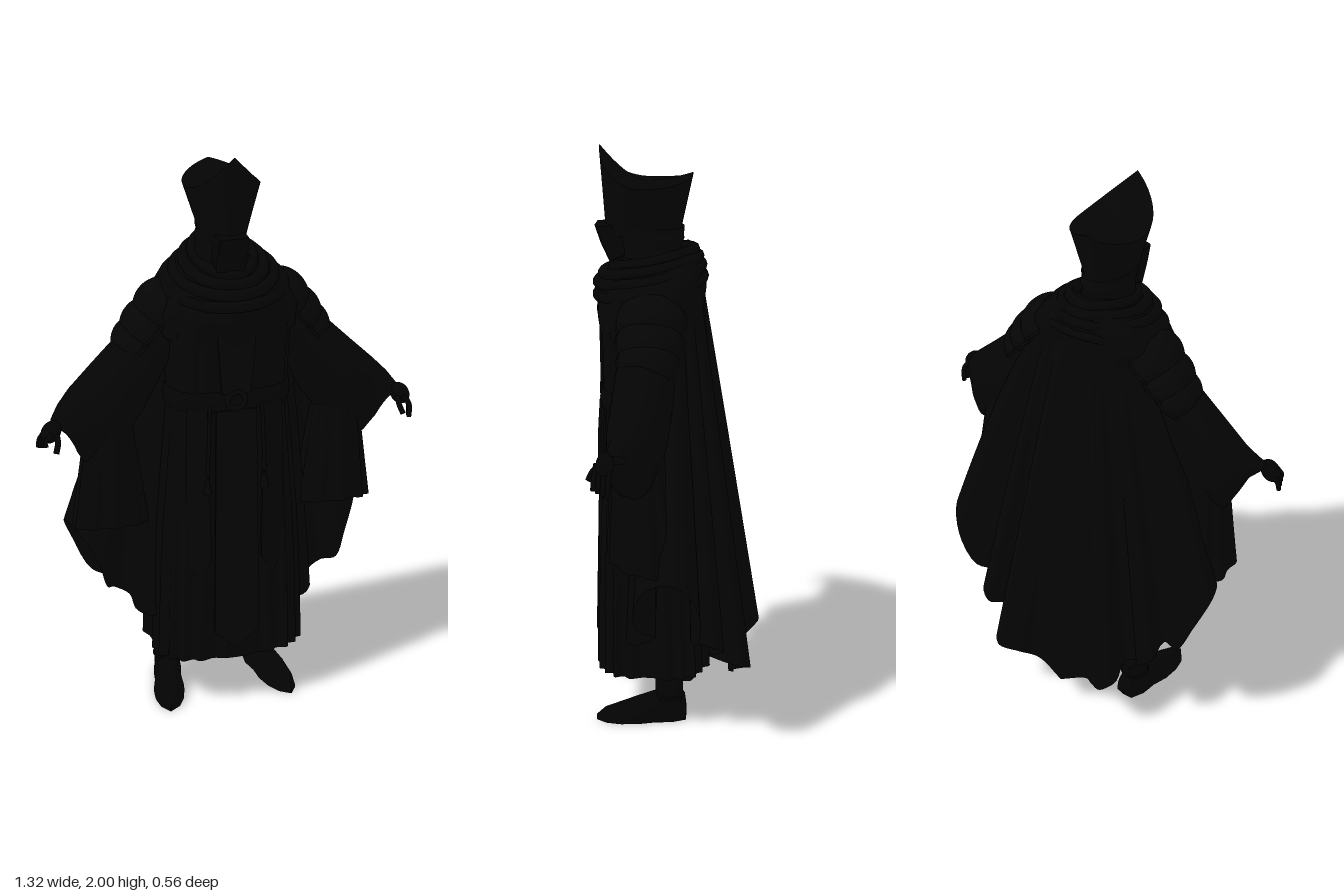
import * as THREE from 'three';
import { mergeVertices } from 'three/addons/utils/BufferGeometryUtils.js';

const V = (x, y, z) => new THREE.Vector3(x, y, z);
const mat = (name, color) => Object.assign(new THREE.MeshStandardMaterial({ color, side: THREE.DoubleSide }), { name });
const cloth = mat('black cloth', 0x040404);
const trim = mat('dark trim', 0x050505);
const leather = mat('black leather', 0x030303);

function mesh(parent, name, geo, material) {
  const m = new THREE.Mesh(geo, material);
  m.name = name;
  parent.add(m);
  return m;
}

// Smooth surface from a rule fn(u, v) -> Vector3
function grid(nu, nv, fn) {
  const pos = [], idx = [];
  for (let j = 0; j <= nv; j++) for (let i = 0; i <= nu; i++) pos.push(...fn(i / nu, j / nv).toArray());
  for (let j = 0; j < nv; j++) for (let i = 0; i < nu; i++) {
    const a = j * (nu + 1) + i, b = a + nu + 1;
    idx.push(a, b, a + 1, a + 1, b, b + 1);
  }
  let g = new THREE.BufferGeometry();
  g.setAttribute('position', new THREE.Float32BufferAttribute(pos, 3));
  g.setIndex(idx);
  g = mergeVertices(g, 1e-5);
  g.computeVertexNormals();
  return g;
}

// Value between rows of numbers, t in 0..1
function rowAt(rows, t) {
  const f = Math.min(t * (rows.length - 1), rows.length - 1.0001), i = Math.floor(f);
  return rows[i].map((a, k) => a + (rows[i + 1][k] - a) * (f - i));
}

// Upright hoop surface; rows are [y, half width, front z, back z, pleat depth]
function hoop(rows, { power = 1, pleats = 0, lift = () => 0, nu = 96, nv = 32 } = {}) {
  return grid(nu, nv, (u, v) => {
    const [y, hx, zf, zb, amp = 0] = rowAt(rows, v);
    const a = u * Math.PI * 2, s = Math.sin(a), c = Math.cos(a);
    const bend = q => Math.sign(q) * Math.abs(q) ** power;
    const k = 1 + amp * Math.cos(pleats * a) + amp * 0.5 * Math.sin(pleats * 0.5 * a + 1) * Math.sin(a / 2);
    return V(bend(s) * hx * k, y + lift(c), (zf + zb) / 2 + bend(c) * (zf - zb) / 2 * k);
  });
}

function tube(points, r, n = 16) {
  return new THREE.TubeGeometry(new THREE.CatmullRomCurve3(points), n, r, 8);
}

function cape() {
  // Hem of one half, from the middle of the back round to the front edge
  const hem = new THREE.CatmullRomCurve3([
    V(0, 0.11, -0.21), V(0.1, 0.16, -0.2), V(0.16, 0.2, -0.25), V(0.22, 0.23, -0.285), V(0.255, 0.25, -0.24),
    V(0.235, 0.27, -0.15), V(0.285, 0.3, -0.15), V(0.32, 0.33, -0.2), V(0.365, 0.36, -0.17), V(0.36, 0.38, -0.09),
    V(0.43, 0.4, -0.12), V(0.5, 0.54, -0.13), V(0.535, 0.64, -0.07), V(0.505, 0.63, 0.02), V(0.45, 0.54, 0.09),
    V(0.42, 0.44, 0.09), V(0.38, 0.4, 0.03), V(0.33, 0.37, 0.04), V(0.32, 0.34, 0.1), V(0.28, 0.33, 0.14), V(0.23, 0.33, 0.14)]);
  return grid(176, 32, (u, v) => {
    const t = Math.abs(u * 2 - 1), side = u < 0.5 ? -1 : 1, a = t * 1.9;
    const low = hem.getPoint(t);
    const top = V(0.19 * Math.sin(a), 1.58 - 0.1 * Math.sin(a), 0.03 - 0.12 * Math.cos(a));
    const f = v ** (1 - 0.42 * Math.min(1, t * 1.3) ** 2);
    return V(side * (top.x + (low.x - top.x) * f), top.y + (low.y - top.y) * v, top.z + (low.z - top.z) * f);
  });
}

function arm(side) {
  const g = new THREE.Group();
  g.name = side > 0 ? 'leftArm' : 'rightArm';
  // Wide sleeve; rows are upper x, y, lower x, y, middle z, half depth
  const rows = [[0.16, 1.55, 0.2, 1.25, 0.06, 0.1], [0.32, 1.4, 0.28, 1.1, 0.07, 0.1], [0.45, 1.275, 0.37, 0.98, 0.08, 0.1],
    [0.53, 1.2, 0.49, 0.93, 0.09, 0.08], [0.575, 1.155, 0.515, 0.98, 0.11, 0.06], [0.605, 1.115, 0.55, 1.07, 0.135, 0.04]];
  mesh(g, 'sleeve', grid(40, 30, (u, v) => {
    const [ux, uy, lx, ly, z, d] = rowAt(rows, v), a = u * Math.PI * 2, c = Math.cos(a);
    const r = 1 + 0.04 * v * Math.cos(8 * a);
    return V((ux + lx) / 2 + (ux - lx) / 2 * c, (uy + ly) / 2 + (uy - ly) / 2 * c, z + d * Math.sin(a) * r);
  }), cloth);
  // Long open drape hanging below the forearm
  mesh(g, 'hangingSleeve', hoop([[0.675, 0.125, 0.18, -0.05, 0.06], [0.95, 0.09, 0.17, -0.02, 0.04], [1.2, 0.055, 0.155, 0.01, 0]],
    { power: 0.85, pleats: 10, lift: c => 0.035 * c, nv: 14 }), cloth).position.x = 0.4;
  // Overlapping shoulder plates
  [[0.205, 1.45, 0.105], [0.255, 1.39, 0.1], [0.295, 1.34, 0.09]].forEach(([x, y, r], i) => {
    const plate = mesh(g, 'shoulderPlate' + (i + 1), new THREE.SphereGeometry(r, 28, 12, 0, Math.PI * 2, 0, Math.PI * 0.52), trim);
    plate.scale.set(0.95, 0.9, 1.1);
    plate.rotation.z = -0.75;
    plate.position.set(x, y, 0.06);
    const rim = mesh(plate, 'plateRim', new THREE.TorusGeometry(r, 0.006, 6, 40), trim);
    rim.rotation.x = Math.PI / 2;
  });
  // Hand
  const palm = mesh(g, 'palm', new THREE.SphereGeometry(1, 16, 12), leather);
  palm.scale.set(0.032, 0.042, 0.03);
  palm.rotation.z = 0.6;
  palm.position.set(0.61, 1.085, 0.16);
  const drop = side > 0 ? 0 : 0.04;
  for (let i = 0; i < 4; i++) {
    const z = 0.14 + i * 0.016;
    mesh(g, 'finger' + (i + 1), tube([V(0.61, 1.09, z), V(0.645 - i * 0.003, 1.05 + drop * 0.3, z + 0.004), V(0.652 - i * 0.006, 0.99 + i * 0.006 + drop, z + 0.008)], 0.0085, 8), leather);
  }
  mesh(g, 'thumb', tube([V(0.595, 1.09, 0.17), V(0.595, 1.06, 0.2), V(0.605, 1.03, 0.215)], 0.01, 8), leather);
  g.scale.x = side;
  return g;
}

function leg(side) {
  const g = new THREE.Group();
  g.name = side > 0 ? 'leftLeg' : 'rightLeg';
  const shaft = mesh(g, 'bootShaft', new THREE.CylinderGeometry(0.055, 0.047, 0.4, 20), leather);
  shaft.position.set(0, 0.25, 0.005);
  for (const y of [0.09, 0.17]) {
    const strap = mesh(g, 'bootStrap', new THREE.TorusGeometry(0.048, 0.005, 6, 24), leather);
    strap.rotation.x = Math.PI / 2;
    strap.position.set(0, y, 0.005);
  }
  // Foot rows are z, half width, height
  const rows = [[-0.055, 0.001, 0.05], [-0.05, 0.035, 0.09], [0, 0.05, 0.115], [0.06, 0.047, 0.1], [0.12, 0.055, 0.08],
    [0.18, 0.05, 0.06], [0.23, 0.033, 0.045], [0.262, 0.001, 0.02]];
  mesh(g, 'foot', grid(24, 28, (u, v) => {
    const [z, w, h] = rowAt(rows, v), a = u * Math.PI * 2;
    return V(w * Math.cos(a), Math.max(0, h * Math.sin(a)), z);
  }), leather);
  g.position.x = side > 0 ? 0.155 : -0.185;
  g.rotation.y = side * 0.2;
  return g;
}

function head() {
  const g = new THREE.Group();
  g.name = 'head';
  g.position.x = -0.012;
  mesh(g, 'hood', hoop([[1.55, 0.1, 0.18, -0.03], [1.66, 0.08, 0.19, -0.02], [1.69, 0.083, 0.2, -0.03], [1.73, 0.072, 0.21, -0.015], [1.78, 0.075, 0.2, 0]]), cloth);
  // Mitre wall and saddle shaped top, with a sharp peak front and back
  const rimY = (s, c) => 1.872 + (c > 0 ? 0.128 : 0.04) * (1 - Math.abs(s));
  const wall = (u, v, k = 1) => {
    const a = u * Math.PI * 2, c = Math.cos(a), s = Math.sin(a);
    const hx = (0.07 + 0.055 * v) * k, zf = 0.235 + 0.02 * v, zb = -0.015 - 0.045 * v;
    return V(s * hx, 1.7 + (rimY(s, c) - 1.7) * v, (zf + zb) / 2 + c * (zf - zb) / 2 * k);
  };
  mesh(g, 'mitre', grid(64, 10, (u, v) => wall(u, v)), cloth);
  mesh(g, 'mitreTop', grid(64, 10, (u, v) => {
    const p = wall(u, 1, 1 - v);
    p.y = 1.88 + (wall(u, 1).y - 1.88) * (1 - v) ** 1.6;
    return p;
  }), cloth);
  mesh(g, 'mitreBand', hoop([[1.7, 0.076, 0.22, -0.028], [1.73, 0.083, 0.225, -0.03]], { nv: 2 }), trim);
  // Beaked mask
  const s = new THREE.Shape([[0.12, 1.74], [0.262, 1.73], [0.245, 1.68], [0.215, 1.615], [0.14, 1.65]].map(p => new THREE.Vector2(...p)));
  const mask = mesh(g, 'mask', new THREE.ExtrudeGeometry(s, { depth: 0.07, bevelSize: 0.006, bevelThickness: 0.015, bevelSegments: 2 }), leather);
  mask.rotation.y = -Math.PI / 2;
  mask.position.x = 0.035;
  return g;
}

function plate(points, depth = 0.008) {
  return new THREE.ExtrudeGeometry(new THREE.Shape(points.map(p => new THREE.Vector2(...p))), { depth, bevelEnabled: false });
}

export function createModel() {
  const model = new THREE.Group();
  model.name = 'robedFigure';
  // Pleated robe
  mesh(model, 'robe', hoop([[0.19, 0.265, 0.26, -0.13, 0.035], [0.45, 0.258, 0.258, -0.115, 0.03], [0.7, 0.245, 0.25, -0.1, 0.025],
    [0.95, 0.225, 0.243, -0.085, 0.02], [1.17, 0.205, 0.238, -0.07, 0.01], [1.4, 0.215, 0.243, -0.08, 0.01],
    [1.54, 0.19, 0.225, -0.08, 0], [1.63, 0.08, 0.17, -0.03, 0]], { power: 0.6, pleats: 22, nu: 260, nv: 42 }), cloth);
  mesh(model, 'cape', cape(), cloth);

  // Shoulder mantle and draped cowl, dipping at the front
  const dip = c => -0.04 * c;
  mesh(model, 'mantle', hoop([[1.4, 0.245, 0.25, -0.09, 0.02], [1.48, 0.25, 0.262, -0.1, 0.02], [1.55, 0.205, 0.262, -0.1, 0.01],
    [1.6, 0.14, 0.24, -0.085, 0], [1.64, 0.085, 0.19, -0.05, 0]], { power: 0.9, pleats: 12, lift: dip }), cloth);
  [[1.53, 0.2, 0.268, -0.085], [1.57, 0.165, 0.268, -0.08], [1.6, 0.13, 0.25, -0.07], [1.625, 0.095, 0.215, -0.055]].forEach(([y, hx, zf, zb], i) => {
    const ring = [];
    for (let k = 0; k < 24; k++) {
      const a = k / 24 * Math.PI * 2, c = Math.cos(a);
      ring.push(V(hx * Math.sin(a), y - 0.03 * c, (zf + zb) / 2 + c * (zf - zb) / 2 - 0.008));
    }
    mesh(model, 'cowlFold' + (i + 1), new THREE.TubeGeometry(new THREE.CatmullRomCurve3(ring, true), 72, 0.02, 10, true), cloth);
  });

  // Belt, hanging front panel and buckle
  mesh(model, 'belt', hoop([[1.13, 0.212, 0.245, -0.077], [1.16, 0.216, 0.25, -0.08], [1.2, 0.212, 0.245, -0.077]], { power: 0.6, nv: 4 }), leather);
  const buckle = mesh(model, 'buckle', new THREE.TorusGeometry(0.03, 0.009, 8, 24), trim);
  buckle.position.set(0, 1.165, 0.248);
  // Panels lean with the front of the robe
  const front = mesh(model, 'frontPanel', plate([[-0.07, 0], [-0.08, -0.83], [0, -0.9], [0.08, -0.83], [0.07, 0]]), trim);
  front.position.set(0, 1.13, 0.243);
  front.rotation.x = -0.024;
  mesh(model, 'chestPanel', plate([[-0.05, 1.19], [0.05, 1.19], [0.07, 1.46], [-0.07, 1.46]]), trim).position.z = 0.243;
  for (const s of [-1, 1]) {
    const panel = mesh(model, 'sidePanel', plate([[-0.035, 0], [-0.045, -0.56], [0, -0.64], [0.045, -0.56], [0.035, 0]]), trim);
    panel.position.set(s * 0.13, 1.14, 0.225);
    panel.rotation.set(-0.03, s * 0.25, 0);
    mesh(model, 'tasselCord', tube([V(s * 0.09, 1.15, 0.243), V(s * 0.095, 1.02, 0.25), V(s * 0.1, 0.9, 0.25)], 0.006), trim);
    mesh(model, 'tassel', new THREE.ConeGeometry(0.015, 0.07, 10), trim).position.set(s * 0.1, 0.87, 0.25);
    model.add(arm(s), leg(s));
  }
  model.add(head());
  return model;
}
